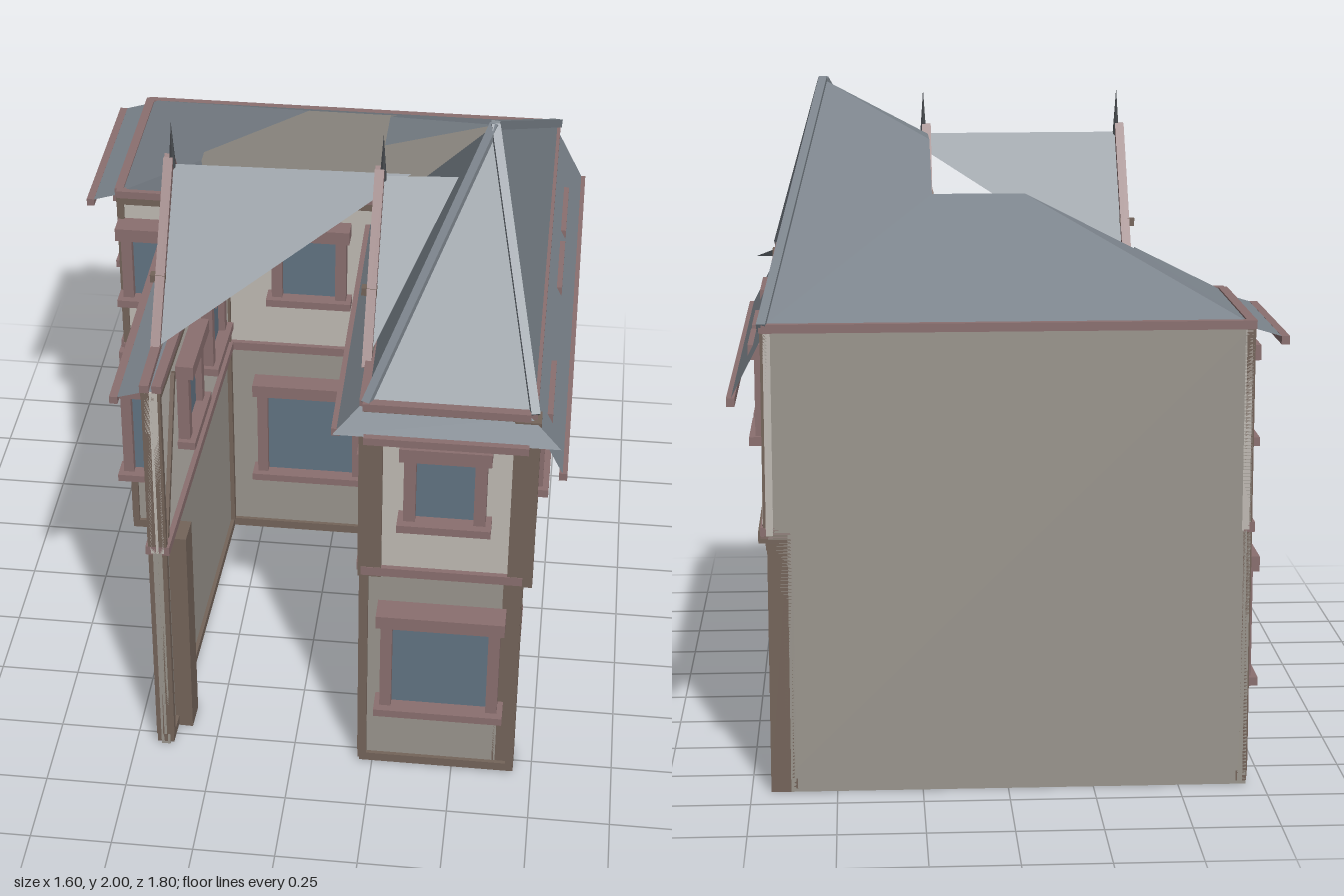
import * as THREE from 'three';

const mat = (color) => new THREE.MeshStandardMaterial({ color, side: THREE.DoubleSide, flatShading: true });
const M = {
  roof: mat(0x7b838b), upper: mat(0xbfbab3), lower: mat(0x9a958d),
  timber: mat(0x74645a), trim: mat(0x8a6f6f), glass: mat(0x627483), iron: mat(0x45484c),
};

function add(parent, name, geo, m) {
  const mesh = new THREE.Mesh(geo, M[m]);
  mesh.name = name;
  parent.add(mesh);
  return mesh;
}

// Box given by its lower and upper corner
function box(parent, name, m, a, b) {
  const mesh = add(parent, name, new THREE.BoxGeometry(b[0] - a[0], b[1] - a[1], b[2] - a[2]), m);
  mesh.position.set((a[0] + b[0]) / 2, (a[1] + b[1]) / 2, (a[2] + b[2]) / 2);
}

// Flat polygon, fanned from its first corner
function poly(parent, name, m, pts) {
  const v = [];
  for (let i = 1; i < pts.length - 1; i++) v.push(...pts[0], ...pts[i], ...pts[i + 1]);
  const geo = new THREE.BufferGeometry();
  geo.setAttribute('position', new THREE.Float32BufferAttribute(v, 3));
  geo.computeVertexNormals();
  add(parent, name, geo, m);
}

// Square beam between two points, in the parent's own space
function beam(parent, name, m, a, b, w) {
  const p = new THREE.Vector3(...a), q = new THREE.Vector3(...b);
  const geo = new THREE.BoxGeometry(w, w, p.distanceTo(q));
  const turn = new THREE.Object3D();
  turn.position.copy(p).add(q).multiplyScalar(0.5);
  turn.lookAt(q);
  turn.updateMatrix();
  add(parent, name, geo.applyMatrix4(turn.matrix), m);
}

// Window on a facade: u along the wall, z outward; several panes share one lintel and sill
function windowUnit(wall, panes, y0, y1, out, z = 0) {
  const g = new THREE.Group();
  g.name = 'window';
  g.position.z = z;
  const u0 = panes[0][0], u1 = panes[panes.length - 1][1];
  for (const [a, b] of panes) {
    box(g, 'glass', 'glass', [a, y0, 0], [b, y1, out * 0.35]);
    box(g, 'jamb', 'trim', [a - 0.035, y0, 0], [a, y1, out * 0.7]);
    box(g, 'jamb', 'trim', [b, y0, 0], [b + 0.035, y1, out * 0.7]);
  }
  box(g, 'lintel', 'trim', [u0 - 0.048, y1, 0], [u1 + 0.048, y1 + 0.045, out]);
  box(g, 'sill', 'trim', [u0 - 0.052, y0 - 0.026, 0], [u1 + 0.052, y0, out]);
  wall.add(g);
}
const upperWindow = (w, a, b, out) => windowUnit(w, [[a, b]], 1.005, 1.235, out);
const lowerWindow = (w, panes, out, z) => windowUnit(w, panes, 0.285, 0.61, out, z);

// Timber-framed facade with plinth, storey band and eaves beam; the ground floor may be set back
function facade(parent, name, pos, rot, u0, u1, inset = 0) {
  const w = new THREE.Group();
  w.name = name;
  w.position.set(...pos);
  w.rotation.y = rot;
  parent.add(w);
  box(w, 'lowerWall', 'lower', [u0, 0, -0.015 - inset], [u1, 0.77, -inset]);
  box(w, 'upperWall', 'upper', [u0, 0.77, -0.015], [u1, 1.36, 0.006]);
  box(w, 'plinthBeam', 'timber', [u0, 0.01, -0.02 - inset], [u1, 0.04, 0.012 - inset]);
  box(w, 'storeyBand', 'trim', [u0, 0.765, -0.01 - inset], [u1, 0.795, 0.022]);
  box(w, 'eavesBeam', 'timber', [u0, 1.335, -0.01], [u1, 1.36, 0.015]);
  box(w, 'gutterBoard', 'trim', [u0, 1.36, -0.01], [u1, 1.385, 0.018]);
  for (const u of [u0, u1 - 0.022]) {
    box(w, 'lowerEdgeStud', 'timber', [u, 0.04, -0.01 - inset], [u + 0.022, 0.765, 0.014 - inset]);
    box(w, 'upperEdgeStud', 'timber', [u, 0.795, -0.01], [u + 0.022, 1.34, 0.014]);
  }
  return w;
}

// Dormer facing -x whose roof tapers back to a point
function dormer(parent, x, tipX) {
  const g = new THREE.Group();
  g.name = 'dormer';
  parent.add(g);
  const zc = 0.26, half = 0.33, y0 = 1.37, y1 = 1.81;
  poly(g, 'gableWall', 'lower', [[x, y0, zc - half], [x, y0, zc + half], [x, y1, zc]]);
  for (const s of [-1, 1]) {
    const foot = zc + s * half;
    poly(g, 'dormerRoof', 'roof', [[x - 0.02, y0, foot], [x - 0.02, y1, zc], [tipX, y1, zc - 0.02]]);
    beam(g, 'bargeBoard', 'trim', [x - 0.015, y0 - 0.01, foot + s * 0.01], [x - 0.015, y1 + 0.02, zc], 0.028);
    beam(g, 'gableRafter', 'timber', [x - 0.01, y0, foot - s * 0.06], [x - 0.01, y1 - 0.07, zc], 0.02);
    box(g, 'purlinEnd', 'timber', [x - 0.045, 1.53, zc + s * 0.205 - 0.012], [x, 1.555, zc + s * 0.205 + 0.012]);
    box(g, 'windowJamb', 'timber', [x - 0.03, 1.44, zc + s * 0.06 - 0.012], [x, 1.6, zc + s * 0.06 + 0.012]);
  }
  box(g, 'dormerGlass', 'glass', [x - 0.015, 1.44, zc - 0.06], [x, 1.6, zc + 0.06]);
  box(g, 'dormerLintel', 'timber', [x - 0.035, 1.6, zc - 0.08], [x, 1.625, zc + 0.08]);
  box(g, 'dormerSill', 'timber', [x - 0.035, 1.415, zc - 0.08], [x, 1.44, zc + 0.08]);
  const finial = add(g, 'finial', new THREE.ConeGeometry(0.013, 0.17, 6), 'iron');
  finial.position.set(x - 0.005, 1.865, zc);
}

export function createModel() {
  const root = new THREE.Group();
  root.name = 'timberFramedHouse';
  const H = Math.PI / 2;

  // Front end of the long wing
  const front = facade(root, 'wingFront', [0, 0, 0.8], 0, 0.21, 0.69);
  upperWindow(front, 0.37, 0.54, 0.08);
  lowerWindow(front, [[0.31, 0.6]], 0.08);
  box(front, 'cornerPost', 'timber', [0.2, 0.76, -0.04], [0.27, 1.32, 0.02]);
  box(front, 'cornerPost', 'timber', [0.645, 0.76, -0.04], [0.72, 1.36, 0.02]);

  // Courtyard faces of the rear block
  const centre = facade(root, 'courtFront', [0, 0, -0.335], 0, -0.42, 0.2);
  upperWindow(centre, -0.165, 0.01, 0.07);
  lowerWindow(centre, [[-0.22, 0.07]], 0.07);
  const leftFront = facade(root, 'blockFront', [0, 0, -0.285], 0, -0.7, -0.42);
  upperWindow(leftFront, -0.65, -0.47, 0.08);
  lowerWindow(leftFront, [[-0.68, -0.5]], 0.08);
  box(leftFront, 'cornerPost', 'timber', [-0.505, 0, -0.03], [-0.42, 0.76, 0.02]);

  // Long street side: upper floor overhangs a set-back ground floor on stepped brackets
  const inset = 0.055;
  const street = facade(root, 'streetSide', [0.69, 0, 0], H, -0.8, 0.9, inset);
  for (const u of [-0.61, 0.07, 0.41]) upperWindow(street, u, u + 0.18, 0.06);
  lowerWindow(street, [[-0.68, -0.38]], 0.055, -inset);
  lowerWindow(street, [[-0.015, 0.29], [0.35, 0.65]], 0.055, -inset);
  for (const u of [-0.69, -0.39, -0.1, 0.19, 0.48, 0.775])
    for (const [i, h] of [0.16, 0.1, 0.05].entries())
      box(street, 'bracket', 'timber', [u - 0.018, 0.75 - h, -inset], [u + 0.018, 0.755, -inset + 0.022 * (i + 1)]);
  for (const u of [-0.24, 0.33]) box(street, 'stud', 'timber', [u - 0.012, 0.8, 0], [u + 0.012, 1.33, 0.015]);
  beam(street, 'brace', 'timber', [0.69, 1.22, 0.006], [0.885, 0.8, 0.006], 0.02);
  box(street, 'jettyBeam', 'timber', [-0.8, 0.75, -inset], [0.9, 0.785, 0.028]);
  for (const u of [-0.8, 0.81]) box(street, 'cornerPost', 'timber', [u, 0, -inset], [u + 0.09, 0.755, 0.003]);
  box(street, 'upperPost', 'timber', [-0.815, 0.76, 0], [-0.755, 1.34, 0.022]);

  // Short side of the rear block and its blank back wall
  const side = facade(root, 'blockSide', [-0.69, 0, 0], -H, -0.9, -0.285);
  upperWindow(side, -0.67, -0.5, 0.06);
  lowerWindow(side, [[-0.72, -0.46]], 0.06);
  box(root, 'backWall', 'lower', [-0.7, 0, -0.9], [0.69, 1.37, -0.885]);
  box(root, 'backGutter', 'trim', [-0.7, 1.36, -0.905], [0.7, 1.385, -0.88]);

  // Two dormered facades on either side of the court, the second slightly askew
  const courtWindows = [-0.07, 0.325];
  for (const [x, u0, tip, skew] of [[-0.42, -0.29, 0.29, 0], [0.205, -0.335, 0.43, 0.015]]) {
    const w = facade(root, 'courtSide', [x, 0, 0], skew - H, u0, 0.8);
    for (const u of courtWindows) upperWindow(w, u, u + 0.17, 0.045);
    for (const u of [0.195, 0.62]) box(w, 'stud', 'timber', [u, 0.8, 0], [u + 0.022, 1.33, 0.016]);
    beam(w, 'brace', 'timber', [0.65, 1.3, 0.008], [0.78, 0.82, 0.008], 0.02);
    dormer(root, x + 0.01, tip);
  }

  // Inner leaf of the free-standing court wall, slightly askew
  const inner = facade(root, 'courtWallInnerFace', [-0.368, 0, 0], H - 0.03, -0.8, 0.335);
  for (const u of courtWindows) upperWindow(inner, -u - 0.17, -u, 0.06);
  beam(inner, 'brace', 'timber', [-0.6, 1.3, 0.008], [-0.78, 0.82, 0.008], 0.02);
  box(inner, 'courtPost', 'timber', [-0.71, 0, -0.025], [-0.62, 0.76, 0.055]);
  poly(root, 'courtWallCap', 'roof', [[-0.42, 1.366, -0.335], [-0.42, 1.366, 0.8], [-0.39, 1.366, 0.8], [-0.358, 1.366, -0.335]]);

  // Main roof: slopes rising to one apex, cut away over the court
  const A = [0.53, 1.985, 0.23], e = 1.375;
  const hipCut = [-0.08, 1.683, -0.335], wingCut = [0.2, 1.822, -0.076];
  poly(root, 'backSlope', 'roof', [[0.7, e, -0.9], A, wingCut, [0.2, 1.683, -0.335], hipCut, [-0.69, e, -0.9]]);
  poly(root, 'hipSlope', 'roof',
    [[-0.69, e, -0.9], hipCut, [-0.42, 1.51, -0.335], [-0.42, 1.51, -0.285], [-0.69, e, -0.285]]);
  poly(root, 'hipSlopeTop', 'roof', [wingCut, A, [0.2, 1.822, 0.1]]);
  poly(root, 'hipEnd', 'roof', [[-0.69, e, -0.285], [-0.42, e, -0.285], [-0.42, 1.51, -0.285]]);
  poly(root, 'courtGable', 'lower',
    [[0.2, e, -0.335], [0.2, 1.683, -0.335], hipCut, [-0.42, 1.51, -0.335], [-0.42, e, -0.335]]);
  const corners = [[0.7, e, -0.9], [0.7, e, 0.8], [0.22, e, 0.8], [0.2, e, -0.335]];
  for (let i = 0; i < 3; i++) poly(root, 'wingSlope', 'roof', [corners[i], corners[i + 1], A]);
  for (const c of corners.slice(0, 3)) beam(root, 'hipTiles', 'roof', c, A, 0.026);

  // Skirt eaves, each with an edge board between its last two points
  const skirts = [
    [[0.69, 1.365, 0.8], [0.69, 1.365, -0.9], [0.79, 1.17, -0.9], [0.79, 1.17, 0.8]],
    [[-0.69, 1.365, -0.9], [-0.69, 1.365, -0.285], [-0.79, 1.335, -0.285], [-0.79, 1.335, -0.9]],
    [[-0.42, 1.365, -0.285], [-0.42, 1.365, 0.8], [-0.515, 1.335, 0.8], [-0.515, 1.335, -0.285]],
    [[0.2, 1.365, -0.335], [0.215, 1.365, 0.8], [0.13, 1.275, 0.8], [0.115, 1.275, -0.335]],
    [[0.13, 1.32, 0.885], [0.2, 1.365, 0.8], [0.69, 1.365, 0.8], [0.78, 1.32, 0.885], [0.69, 1.32, 0.885], [0.22, 1.32, 0.885]],
  ];
  for (const s of skirts) {
    poly(root, 'skirtEaves', 'roof', s);
    const [a, b] = s.slice(-2).map(([x, y, z]) => [x, y - 0.008, z]);
    beam(root, 'edgeBoard', 'trim', a, b, 0.024);
  }
  return root;
}
